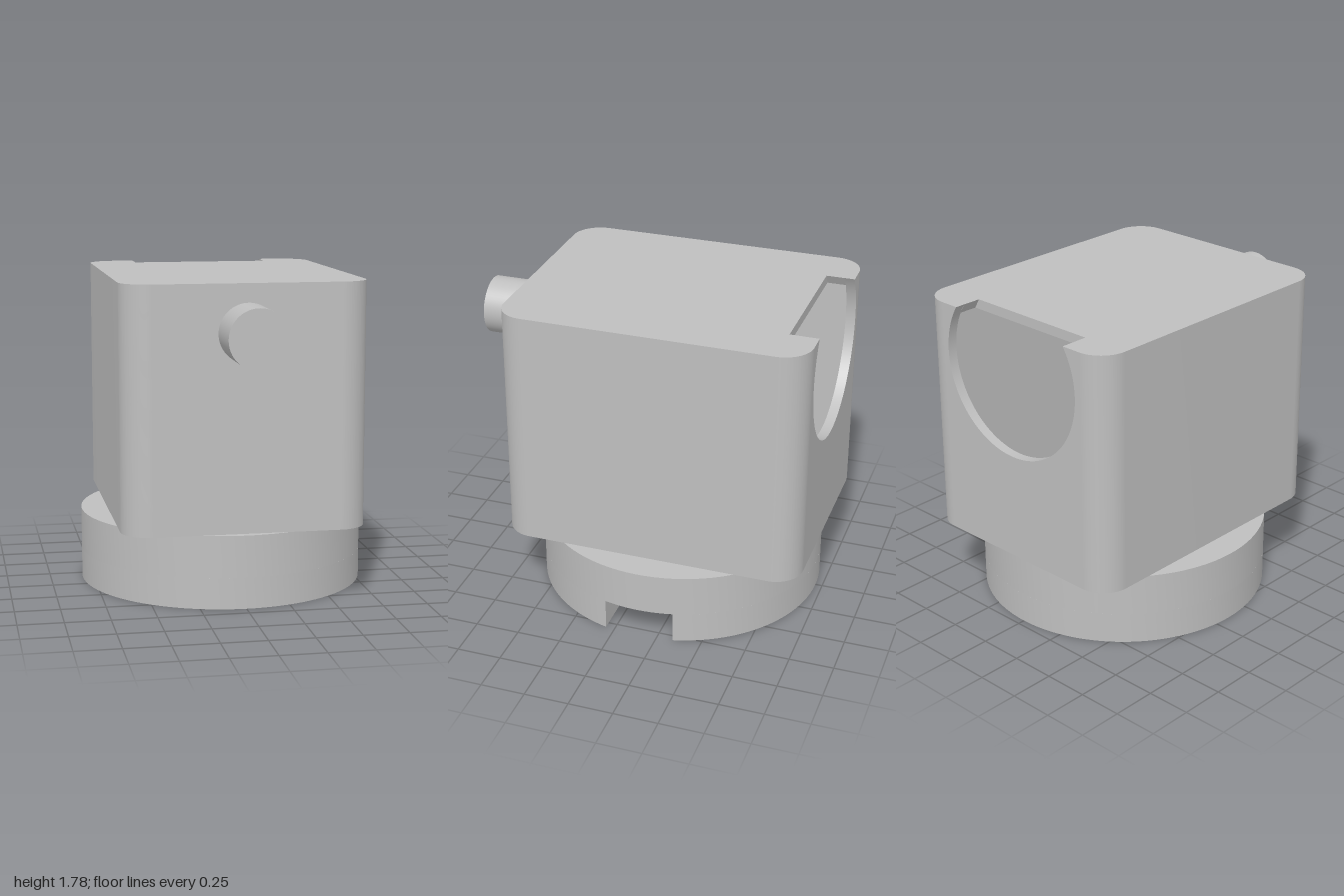
import * as THREE from 'three';
import { toCreasedNormals } from 'three/addons/utils/BufferGeometryUtils.js';

const grey = new THREE.MeshStandardMaterial({ color: 0xbfbfbf });
grey.name = 'plain grey';

const CZ = -0.145;                       // shared vertical axis of body and base
const BOTTOM = 0.43, TOP = 1.78;         // body height range
const HALF = 0.675, BACK = -1, FRONT = 0.71, R = 0.16;
const WALL = 0.055, CAV = 0.48;          // wall thickness, cavity half width
const PORT_Y = 1.515, PORT_R = 0.48;     // round opening in the back

export function createModel() {
  const model = new THREE.Group();

  const add = (name, geometry, parent) => {
    const mesh = new THREE.Mesh(geometry, grey);
    mesh.name = name;
    parent.add(mesh);
    return mesh;
  };
  const extrude = (shape, depth) => toCreasedNormals(
    new THREE.ExtrudeGeometry(shape, { depth, bevelEnabled: false, curveSegments: 48 }), 0.5);
  // plan shapes use (x, -z) and rise along y
  const extrudeUp = (shape, y0, y1) =>
    extrude(shape, y1 - y0).rotateX(-Math.PI / 2).translate(0, y0, 0);
  const box = (x0, x1, y0, y1, z0, z1) =>
    new THREE.BoxGeometry(x1 - x0, y1 - y0, z1 - z0)
      .translate((x0 + x1) / 2, (y0 + y1) / 2, (z0 + z1) / 2);

  // --- hollow body ---
  const body = new THREE.Group();
  body.name = 'body';
  model.add(body);

  // front and side walls with rounded vertical corners, open at the back
  const inX = HALF - R, b = -BACK, f = -FRONT;
  const walls = new THREE.Shape();
  walls.moveTo(-inX, b);
  walls.absarc(-inX, b - R, R, Math.PI / 2, Math.PI, false);
  walls.absarc(-inX, f + R, R, Math.PI, Math.PI * 1.5, false);
  walls.absarc(inX, f + R, R, -Math.PI / 2, 0, false);
  walls.absarc(inX, b - R, R, 0, Math.PI / 2, false);
  walls.lineTo(inX, b - WALL);
  walls.lineTo(CAV, b - WALL);
  walls.lineTo(CAV, f + WALL);
  walls.lineTo(-CAV, f + WALL);
  walls.lineTo(-CAV, b - WALL);
  walls.lineTo(-inX, b - WALL);
  walls.closePath();
  add('sideWalls', extrudeUp(walls, BOTTOM, TOP), body);

  // back wall with the round opening that breaks through the top edge
  const cut = Math.asin((TOP - PORT_Y) / PORT_R);
  const chord = PORT_R * Math.cos(cut);
  const backWall = new THREE.Shape();
  backWall.moveTo(-inX, BOTTOM);
  backWall.lineTo(inX, BOTTOM);
  backWall.lineTo(inX, TOP);
  backWall.lineTo(chord, TOP);
  backWall.absarc(0, PORT_Y, PORT_R, cut, -Math.PI - cut, true);
  backWall.lineTo(-inX, TOP);
  backWall.closePath();
  add('backWall', extrude(backWall, WALL).translate(0, 0, BACK), body);

  // floor and roof of the cavity; the roof stops short of the back
  const inBack = BACK + WALL, roofBack = BACK + 0.16, inFront = FRONT - WALL;
  add('floor', box(-CAV, CAV, BOTTOM, BOTTOM + WALL, inBack, inFront), body);
  add('roof', box(-CAV, CAV, TOP - WALL, TOP, roofBack, inFront), body);

  // roof strips either side of the notch
  const low = TOP - WALL;
  const chordLow = Math.sqrt(PORT_R ** 2 - (low - PORT_Y) ** 2);
  for (const s of [-1, 1]) {
    const strip = new THREE.Shape();
    strip.moveTo(s * chordLow, low);
    strip.lineTo(s * CAV, low);
    strip.lineTo(s * CAV, TOP);
    strip.lineTo(s * chord, TOP);
    strip.closePath();
    add('roofStrip', extrude(strip, roofBack - inBack).translate(0, 0, inBack), body);
  }

  // --- front peg ---
  add('peg', new THREE.CylinderGeometry(0.162, 0.162, 1 - FRONT, 64)
    .rotateX(Math.PI / 2).translate(0, PORT_Y, (1 + FRONT) / 2), model);

  // --- round base ---
  const base = new THREE.Group();
  base.name = 'base';
  base.position.z = CZ;
  model.add(base);

  // lower layer with a round-ended slot opening on the left side
  const radius = 0.815, slot = 0.197, slotEnd = -0.13, slotTop = 0.175;
  const a = Math.asin(slot / radius);
  const lower = new THREE.Shape();
  lower.absarc(0, 0, radius, a, Math.PI * 2 - a, false);
  lower.lineTo(slotEnd, -slot);
  lower.absarc(slotEnd, 0, slot, -Math.PI / 2, Math.PI / 2, true);
  lower.closePath();
  add('slottedDisc', extrudeUp(lower, 0, slotTop), base);

  // upper layer with a hole on the axis
  const upper = new THREE.Shape();
  upper.absarc(0, 0, radius, a, Math.PI * 2 + a, false);
  const hole = new THREE.Path();
  hole.absarc(0, 0, 0.13, 0, Math.PI * 2, true);
  upper.holes.push(hole);
  add('upperDisc', extrudeUp(upper, slotTop, 0.41), base);

  return model;
}
